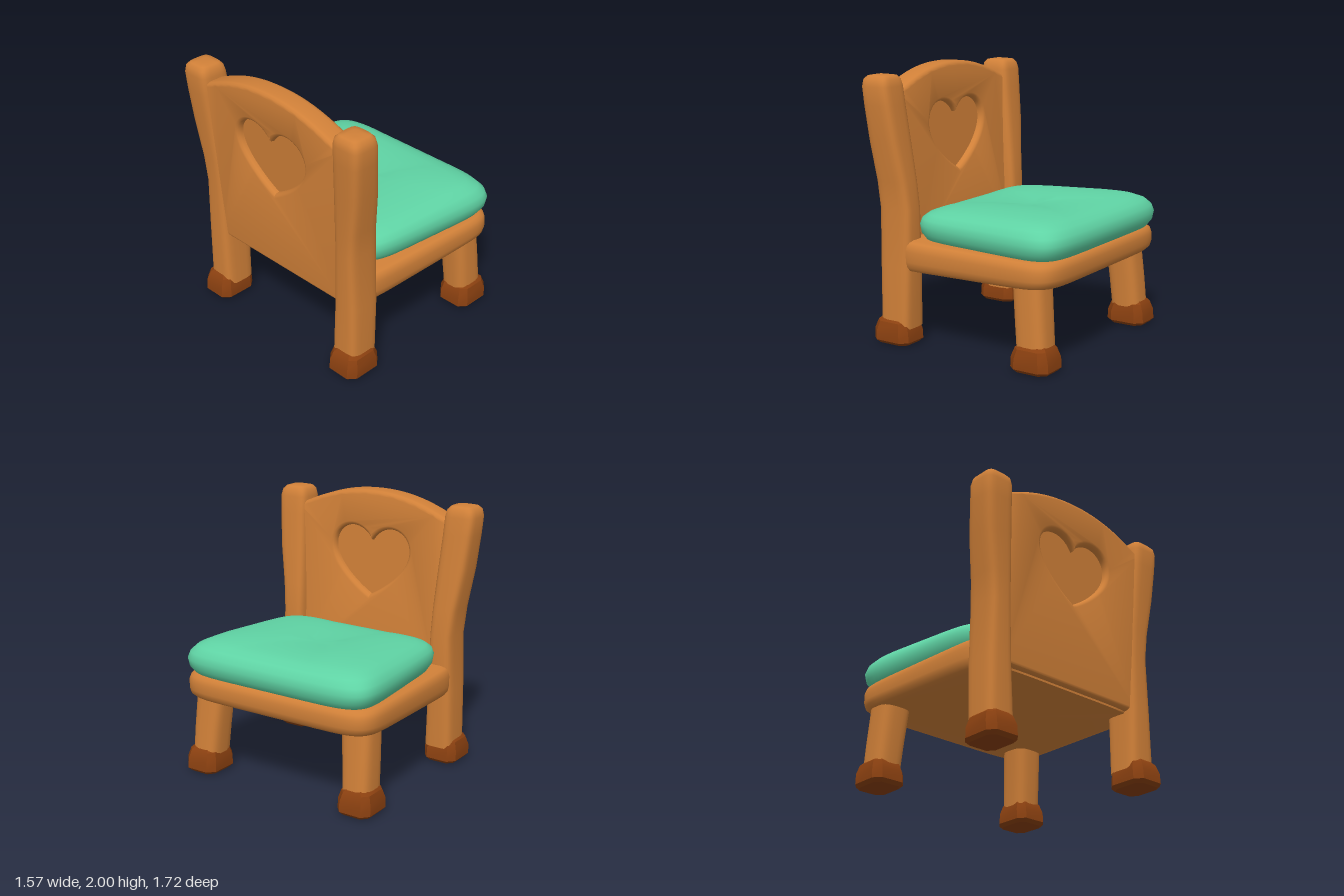
import * as THREE from 'three';
import { toCreasedNormals } from 'three/addons/utils/BufferGeometryUtils.js';

const wood = new THREE.MeshStandardMaterial({ color: 0xd08038 });
wood.name = 'honey wood';
const darkWood = new THREE.MeshStandardMaterial({ color: 0x8a4010 });
darkWood.name = 'dark wood';
const fabric = new THREE.MeshStandardMaterial({ color: 0x5fd3a4 });
fabric.name = 'mint fabric';

// Stacks rounded-rectangle sections [y, x0, x1, z0, z1]; a smaller "square" gives squarer corners.
function loft(sections, { square = 0.45, sides = 24, crease = 0.8, warp = null } = {}) {
  const pos = [], index = [];
  const add = (x, y, z) => {
    const v = new THREE.Vector3(x, y, z);
    if (warp) warp(v);
    pos.push(v.x, v.y, v.z);
  };
  const soft = (t) => Math.sign(t) * Math.pow(Math.abs(t), square);
  for (const [y, x0, x1, z0, z1] of sections) {
    for (let j = 0; j < sides; j++) {
      const a = ((j + 0.5) / sides) * Math.PI * 2;
      add((x0 + x1) / 2 + soft(Math.cos(a)) * (x1 - x0) / 2, y,
        (z0 + z1) / 2 + soft(Math.sin(a)) * (z1 - z0) / 2);
    }
  }
  const last = sections.length - 1;
  for (const [y, x0, x1, z0, z1] of [sections[0], sections[last]]) add((x0 + x1) / 2, y, (z0 + z1) / 2);
  const bottom = sections.length * sides, top = bottom + 1;
  for (let j = 0; j < sides; j++) {
    const k = (j + 1) % sides;
    for (let i = 0; i < last; i++) {
      const a = i * sides + j, b = i * sides + k;
      index.push(a, a + sides, b, b, a + sides, b + sides);
    }
    index.push(bottom, j, k, top, last * sides + k, last * sides + j);
  }
  const geo = new THREE.BufferGeometry();
  geo.setAttribute('position', new THREE.Float32BufferAttribute(pos, 3));
  geo.setIndex(index);
  return toCreasedNormals(geo, crease);
}

// Moves sections to the other side of the chair.
const onSide = (sections, s) =>
  sections.map(([y, x0, x1, z0, z1]) => (s > 0 ? [y, x0, x1, z0, z1] : [y, x0, x1, -z1, -z0]));

function heart(PathType, k = 1) {
  const p = new PathType();
  const c = 1.45, Y = (y) => c + (y - c) * k;
  p.moveTo(0, Y(1.2));
  p.bezierCurveTo(0.08 * k, Y(1.24), 0.33 * k, Y(1.4), 0.33 * k, Y(1.56));
  p.bezierCurveTo(0.33 * k, Y(1.73), 0.1 * k, Y(1.78), 0, Y(1.62));
  p.bezierCurveTo(-0.1 * k, Y(1.78), -0.33 * k, Y(1.73), -0.33 * k, Y(1.56));
  p.bezierCurveTo(-0.33 * k, Y(1.4), -0.08 * k, Y(1.24), 0, Y(1.2));
  return p;
}

// Stands an extruded shape across the back and leans it backwards.
function standBoard(shape, options) {
  const geo = new THREE.ExtrudeGeometry(shape, options);
  geo.translate(0, 0, -options.depth / 2);
  geo.rotateY(Math.PI / 2);
  const p = geo.attributes.position;
  for (let i = 0; i < p.count; i++) {
    p.setX(i, p.getX(i) - 0.595 - 0.059 * (p.getY(i) - 0.56));
  }
  return toCreasedNormals(geo, 0.7);
}

export function createModel() {
  const chair = new THREE.Group();
  chair.name = 'chair';
  const part = (name, geo, mat) => {
    const mesh = new THREE.Mesh(geo, mat);
    mesh.name = name;
    chair.add(mesh);
  };

  // Posts, legs and feet, mirrored left and right across z
  const post = [
    [0.12, -0.72, -0.47, 0.55, 0.78], [0.58, -0.72, -0.455, 0.57, 0.775],
    [1.0, -0.725, -0.455, 0.58, 0.76], [1.2, -0.735, -0.475, 0.585, 0.78],
    [1.5, -0.76, -0.51, 0.6, 0.83], [1.75, -0.782, -0.54, 0.615, 0.853],
    [1.88, -0.79, -0.555, 0.62, 0.862], [1.93, -0.783, -0.567, 0.632, 0.85],
    [1.955, -0.76, -0.59, 0.655, 0.825], [1.962, -0.72, -0.63, 0.7, 0.78],
  ];
  const leg = [
    [0.12, 0.45, 0.69, 0.56, 0.78], [0.35, 0.43, 0.67, 0.545, 0.775], [0.64, 0.405, 0.64, 0.52, 0.765],
  ];
  const foot = (x0, x1) => [
    [0, x0 + 0.025, x1 - 0.025, 0.565, 0.795], [0.025, x0, x1, 0.54, 0.82],
    [0.1, x0 + 0.005, x1 - 0.005, 0.54, 0.82], [0.165, x0 + 0.03, x1 - 0.03, 0.56, 0.8],
    [0.19, x0 + 0.055, x1 - 0.055, 0.59, 0.77],
  ];
  for (const s of [1, -1]) {
    const side = s > 0 ? 'Left' : 'Right';
    part('backPost' + side, loft(onSide(post, s)), wood);
    part('frontLeg' + side, loft(onSide(leg, s), { square: 0.6 }), wood);
    part('backFoot' + side, loft(onSide(foot(-0.78, -0.455), s), { square: 0.5, sides: 8, crease: 0.5 }), darkWood);
    part('frontFoot' + side, loft(onSide(foot(0.415, 0.735), s), { square: 0.5, sides: 8, crease: 0.5 }), darkWood);
  }

  // Seat slab, narrower at the back and slightly thinner at the front
  const slab = [[0.565, 0.07], [0.575, 0.03], [0.6, 0.008], [0.64, 0], [0.71, 0], [0.75, 0.01], [0.77, 0.03], [0.78, 0.07]];
  part('seat', loft(slab.map(([y, d]) => [y, -0.65, 0.757 - d, d - 0.82, 0.82 - d]), {
    square: 0.25, sides: 64,
    warp: (v) => {
      v.z *= 1 - 0.055 * Math.max(0, 0.6 - v.x);
      v.y += ((0.78 - v.y) / 0.215) * 0.03 * v.x;
    },
  }), wood);

  // Cushion with puffed edges and a soft dip along the middle
  const puff = [
    [0.765, 0.1], [0.785, 0.04], [0.83, 0.01], [0.89, 0], [0.94, 0.015], [0.985, 0.055],
    [1.015, 0.12], [1.03, 0.2], [1.038, 0.32], [1.042, 0.45], [1.04, 0.58],
  ];
  part('cushion', loft(puff.map(([y, d]) => [y, -0.51 + d, 0.785 - d, d - 0.81, 0.81 - d]), {
    square: 0.3, sides: 64, crease: 1.2,
    warp: (v) => {
      v.z *= 1 - 0.13 * (0.6 - v.x);
      const t = THREE.MathUtils.smoothstep(v.y, 0.9, 1.03);
      v.y -= t * (0.035 * Math.exp(-((v.z / 0.2) ** 2)) + 0.025 * THREE.MathUtils.smoothstep(0.4 - v.x, 0, 0.8));
    },
  }), fabric);

  // Arched back board with a heart cut-out, filled by a recessed panel
  const board = new THREE.Shape();
  board.moveTo(-0.66, 0.56);
  board.lineTo(0.66, 0.56);
  board.lineTo(0.69, 1.83);
  board.bezierCurveTo(0.55, 1.88, 0.35, 2.0, 0, 2.0);
  board.bezierCurveTo(-0.35, 2.0, -0.55, 1.88, -0.69, 1.83);
  board.closePath();
  board.holes.push(heart(THREE.Path));
  part('backBoard', standBoard(board, {
    depth: 0.1, bevelEnabled: true, bevelThickness: 0.04, bevelSize: 0.03, bevelOffset: -0.03,
    bevelSegments: 3, curveSegments: 16,
  }), wood);
  part('heartPanel', standBoard(heart(THREE.Shape, 1.04), { depth: 0.08, bevelEnabled: false, curveSegments: 16 }), wood);

  return chair;
}
